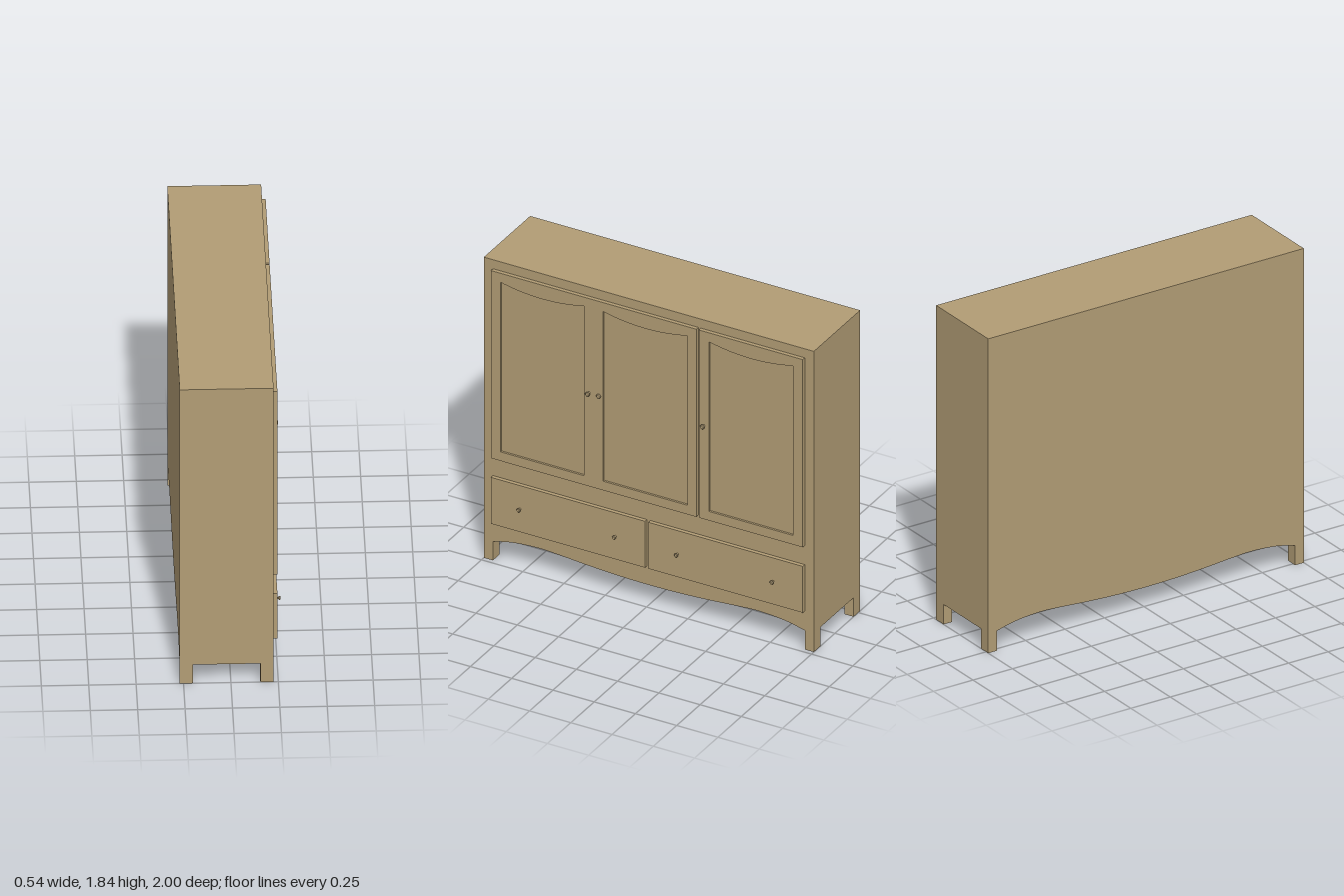
import * as THREE from 'three';
import { toCreasedNormals } from 'three/addons/utils/BufferGeometryUtils.js';

const wood = new THREE.MeshStandardMaterial({ color: 0xb29d75 });
const BACK = -0.27, FRONT = 0.225, FACE = 0.247, PANEL = 0.235;
const WIDTH = 2, TOP = 1.835, LEG_H = 0.116, LEG_W = 0.055, LEG_D = 0.07;

function add(parent, name, geometry) {
  const mesh = new THREE.Mesh(geometry, wood);
  mesh.name = name;
  parent.add(mesh);
  return mesh;
}

// Extrudes an outline drawn on the door side (u runs along -z, v is up) from x0 to x1.
function slab(shape, x0, x1) {
  const g = new THREE.ExtrudeGeometry(shape, { depth: x1 - x0, bevelEnabled: false, curveSegments: 16 });
  g.rotateY(Math.PI / 2).translate(x0, 0, 0);
  return toCreasedNormals(g, 0.5);
}

function rect(u0, u1, v0, v1) {
  return new THREE.Shape([[u0, v0], [u1, v0], [u1, v1], [u0, v1]].map(p => new THREE.Vector2(...p)));
}

// Panel opening with a sagging top edge.
function panelOutline(u0, u1) {
  const p = new THREE.Path();
  p.moveTo(u0, 0.69);
  p.lineTo(u0, 1.725);
  p.quadraticCurveTo((u0 + u1) / 2, 1.665, u1, 1.725);
  p.lineTo(u1, 0.69);
  p.closePath();
  return p;
}

function addKnob(parent, u, y, r, base = FACE) {
  const profile = [[0, 0], [0.55, 0], [0.5, 0.011], [1, 0.014], [1, 0.019], [0.7, 0.023], [0, 0.023]]
    .map(([a, h]) => new THREE.Vector2(a * r, h));
  const g = toCreasedNormals(new THREE.LatheGeometry(profile, 16), 0.6);
  const knob = add(parent, 'knob', g);
  knob.rotation.z = -Math.PI / 2;
  knob.position.set(base, y, -u);
}

export function createModel() {
  const group = new THREE.Group();
  group.name = 'wardrobe';

  // Cabinet body with its wavy lower edge
  const half = WIDTH / 2, inner = half - LEG_W;
  const body = new THREE.Shape();
  body.moveTo(-half, TOP);
  body.lineTo(-half, LEG_H);
  body.lineTo(-inner, LEG_H);
  const wave = [[0.82, 0.143], [0.67, 0.154], [0.54, 0.148], [0.37, 0.135], [0.18, 0.125]];
  body.splineThru([
    ...wave.map(([u, v]) => new THREE.Vector2(-u, v)),
    new THREE.Vector2(0, 0.122),
    ...wave.slice().reverse().map(([u, v]) => new THREE.Vector2(u, v)),
    new THREE.Vector2(inner, LEG_H),
  ]);
  body.lineTo(half, LEG_H);
  body.lineTo(half, TOP);
  body.closePath();
  add(group, 'body', slab(body, BACK, FRONT));

  // Four square legs
  for (const x of [BACK + LEG_D / 2, FRONT - LEG_D / 2]) {
    for (const s of [-1, 1]) {
      const leg = add(group, 'leg', new THREE.BoxGeometry(LEG_D, LEG_H, LEG_W));
      leg.position.set(x, LEG_H / 2, s * (half - LEG_W / 2));
    }
  }

  // Doors: a pierced frame with recessed panels behind it
  const doors = [
    { name: 'wideDoor', span: [-0.945, 0.3], panels: [[-0.888, -0.38], [-0.265, 0.248]] },
    { name: 'narrowDoor', span: [0.315, 0.945], panels: [[0.377, 0.885]] },
  ];
  for (const { name, span, panels } of doors) {
    const door = new THREE.Group();
    door.name = name;
    group.add(door);
    const frame = rect(...span, 0.635, 1.78);
    for (const p of panels) frame.holes.push(panelOutline(...p));
    add(door, 'doorFrame', slab(frame, FRONT, FACE));
    for (const p of panels) {
      add(door, 'doorPanel', slab(new THREE.Shape(panelOutline(...p).getPoints(16)), FRONT, PANEL));
    }
  }

  // Two drawers
  for (const span of [[-0.945, -0.012], [0.01, 0.945]]) {
    add(group, 'drawer', slab(rect(...span, 0.235, 0.518), FRONT, FACE));
  }

  // Knobs on doors and drawers
  addKnob(group, -0.35, 1.205, 0.013);
  addKnob(group, -0.289, 1.205, 0.013, 0.237);
  addKnob(group, 0.345, 1.205, 0.013);
  for (const u of [-0.768, -0.19, 0.187, 0.766]) addKnob(group, u, 0.376, 0.011);

  return group;
}
